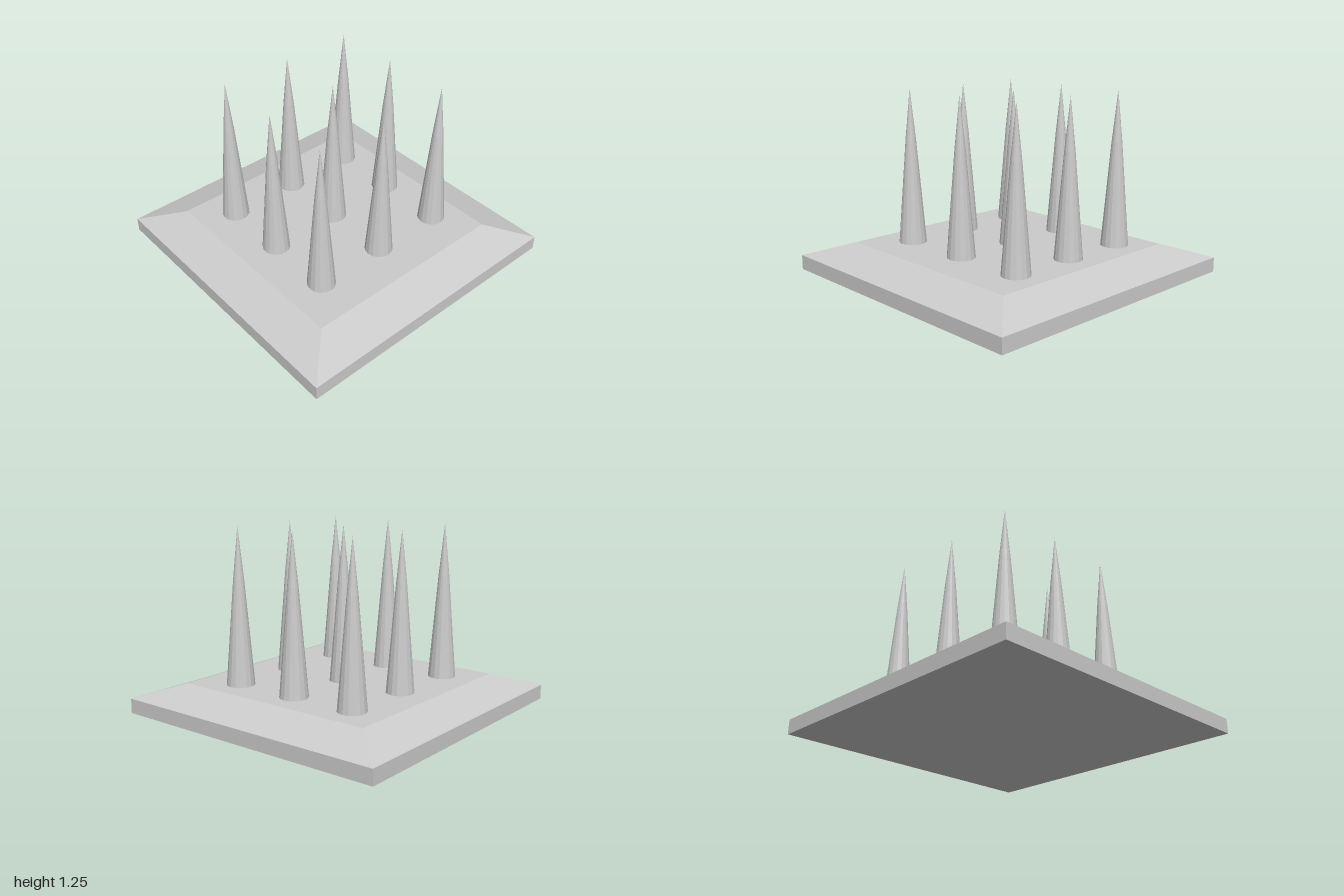
import * as THREE from 'three';

const material = new THREE.MeshStandardMaterial({ color: 0xcccccc, flatShading: true });

// Turned solid from [radius, height] pairs, listed bottom to top
function turned(name, profile, sides, phase = 0) {
  const points = profile.map(([r, y]) => new THREE.Vector2(r, y));
  const mesh = new THREE.Mesh(new THREE.LatheGeometry(points, sides, phase), material);
  mesh.name = name;
  return mesh;
}

export function createModel() {
  const model = new THREE.Group();
  model.name = 'spikeTrap';

  // Square plate with sloping upper edges: a four-sided turned solid
  const corner = Math.SQRT2;
  model.add(turned('basePlate', [
    [0, 0], [corner, 0], [corner, 0.1], [0.735 * corner, 0.195], [0, 0.195],
  ], 4, Math.PI / 4));

  // Three by three spikes, set slightly off the plate's centre
  const spikes = new THREE.Group();
  spikes.name = 'spikes';
  for (const x of [-0.48, 0.025, 0.53]) {
    for (const z of [-0.5, -0.035, 0.435]) {
      const spike = turned('spike', [[0.095, 0.19], [0.036, 0.9], [0, 1.25]], 16);
      spike.position.set(x, 0, z);
      spikes.add(spike);
    }
  }
  model.add(spikes);
  return model;
}
